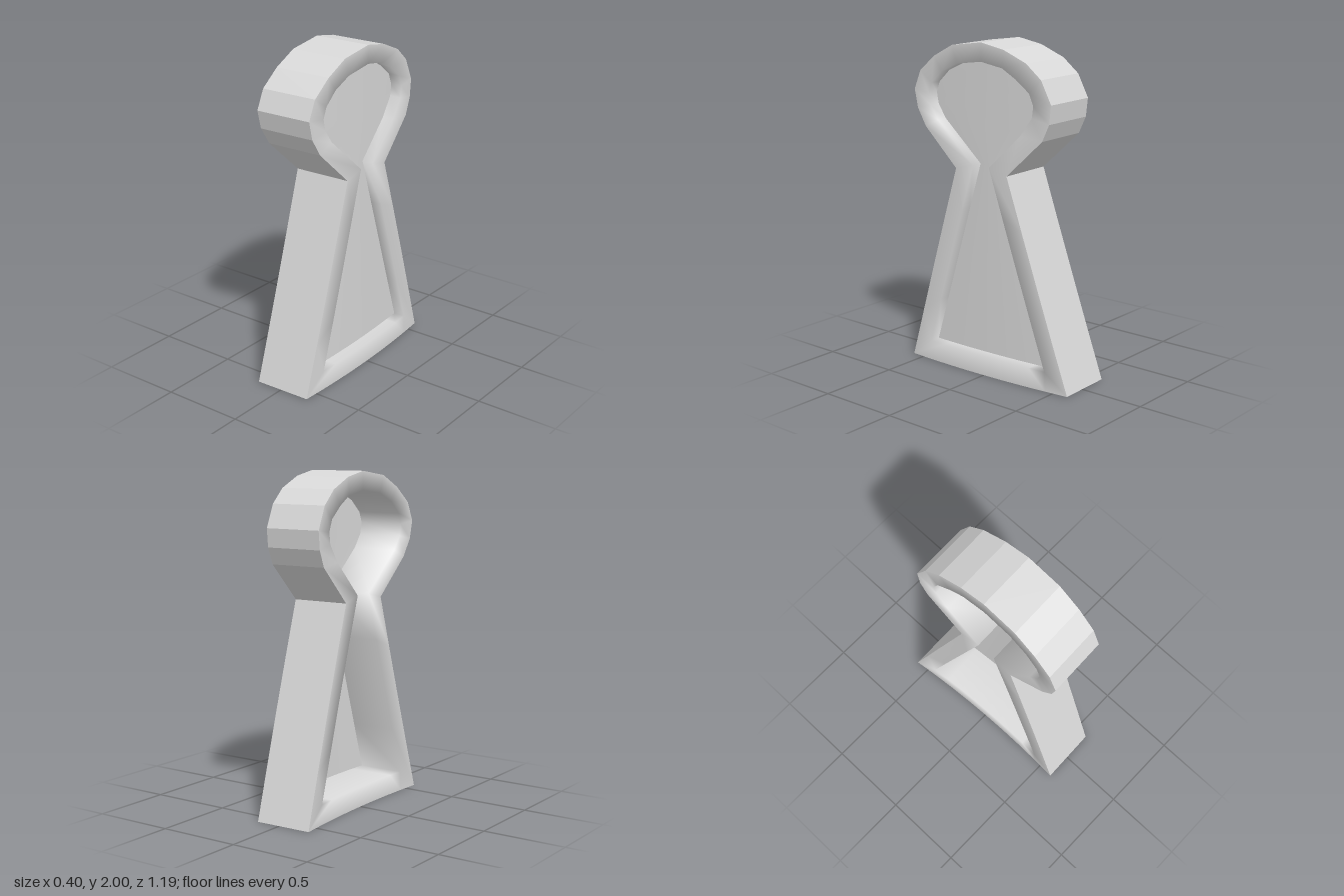
import * as THREE from 'three';

// Matching outline points [z, y] of the keyhole: outer edge and opening.
const OUTER = [
  [-0.167, 1.247], [-0.41, 1.475], [-0.455, 1.575], [-0.467, 1.685], [-0.4, 1.82], [-0.3, 1.905], [-0.145, 1.97], [0.015, 2],
  [0.235, 1.97], [0.38, 1.895], [0.495, 1.8], [0.545, 1.685], [0.52, 1.575], [0.455, 1.47], [0.21, 1.247],
  [0.59, 0], [-0.59, 0],
];
const INNER = [
  [-0.04, 1.28], [-0.26, 1.49], [-0.34, 1.6], [-0.35, 1.67], [-0.32, 1.74], [-0.23, 1.81], [-0.135, 1.865], [0.015, 1.89],
  [0.2, 1.865], [0.32, 1.81], [0.4, 1.735], [0.425, 1.67], [0.41, 1.6], [0.355, 1.52], [0.08, 1.28],
  [0.435, 0.12], [-0.435, 0.12],
];
const THICKNESS = 0.355;
const PANEL_DEPTH = 0.072;

// Gentle bow of the whole piece; depth is measured in from the near side.
const bow = (y, z, depth) => [0.2 - 0.078 * (z - 0.2) ** 2 - depth, y, z - 0.005 + 0.028 * depth];

// Split the long straight sides so they can follow the bend.
function subdivide(points) {
  const steps = { 14: 4, 15: 8, 16: 4 };
  return points.flatMap(([z, y], i) => {
    const [z2, y2] = points[(i + 1) % points.length];
    const n = steps[i] || 1;
    return Array.from({ length: n }, (_, k) => [z + ((z2 - z) * k) / n, y + ((y2 - y) * k) / n]);
  });
}

const ring = (points, depth) => subdivide(points).map(([z, y]) => bow(y, z, depth));

// Closed bands of quads joining successive rings.
function loft(rings) {
  const n = rings[0].length;
  const index = [];
  for (let r = 0; r < rings.length - 1; r++) {
    for (let i = 0; i < n; i++) {
      const j = (i + 1) % n;
      const a = r * n + i, b = r * n + j, c = a + n, d = b + n;
      index.push(a, b, d, a, d, c);
    }
  }
  const geometry = new THREE.BufferGeometry();
  geometry.setAttribute('position', new THREE.Float32BufferAttribute(rings.flat(2), 3));
  geometry.setIndex(index);
  return geometry;
}

// Bowed sheet filling the opening, one row per pair of facing outline points.
function panelGeometry() {
  const rows = [[15, 16]];
  for (let k = 0; k <= 7; k++) rows.unshift([14 - k, k]);
  const columns = 10;
  const geometry = new THREE.PlaneGeometry(1, 1, columns, rows.length - 1);
  const position = geometry.attributes.position;
  rows.forEach(([left, right], r) => {
    const [z1, y1] = INNER[left];
    const [z2, y2] = INNER[right];
    for (let c = 0; c <= columns; c++) {
      const t = c / columns;
      const point = bow(y1 + (y2 - y1) * t, z1 + (z2 - z1) * t, PANEL_DEPTH);
      position.setXYZ(r * (columns + 1) + c, ...point);
    }
  });
  return geometry;
}

export function createModel() {
  const group = new THREE.Group();
  group.name = 'keyhole';
  const grey = new THREE.MeshStandardMaterial({ color: 0xd8d8d8, side: THREE.DoubleSide });
  grey.name = 'light grey';

  const add = (name, geometry) => {
    geometry.computeVertexNormals();
    const mesh = new THREE.Mesh(geometry, grey);
    mesh.name = name;
    group.add(mesh);
  };

  // Faceted outside wall
  add('outerWall', loft([ring(OUTER, THICKNESS), ring(OUTER, 0)]).toNonIndexed());

  // Rims and inside wall, softly shaded as one surface
  add('rimAndInnerWall', loft([
    ring(OUTER, 0), ring(INNER, 0), ring(INNER, PANEL_DEPTH), ring(INNER, THICKNESS), ring(OUTER, THICKNESS),
  ]));

  // Thin panel set just inside the near rim
  add('backPanel', panelGeometry());

  return group;
}
